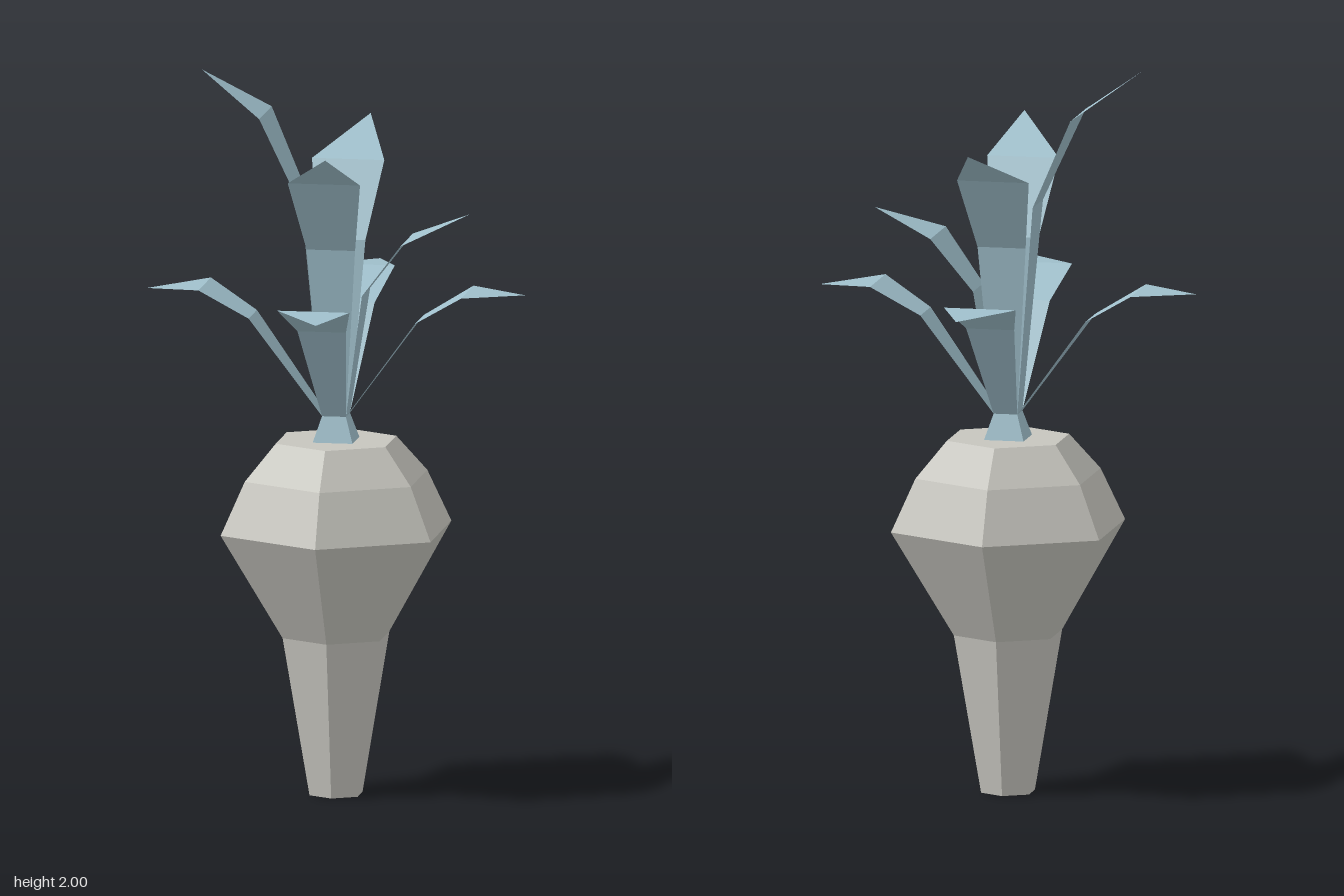
import * as THREE from 'three';

// Leaf strip leaning towards +z; each section is [reach, height, halfWidth], tip is [x, height, reach].
function leafGeometry(sections, tip) {
  const positions = [];
  for (const [reach, height, half] of sections) {
    positions.push(-half, height, reach, half, height, reach);
  }
  positions.push(tip[0], tip[1], tip[2]);
  const index = [];
  const last = (sections.length - 1) * 2;
  for (let i = 0; i < last; i += 2) {
    index.push(i, i + 2, i + 1, i + 1, i + 2, i + 3);
  }
  index.push(last, last + 2, last + 1);
  const geometry = new THREE.BufferGeometry();
  geometry.setAttribute('position', new THREE.Float32BufferAttribute(positions, 3));
  geometry.setIndex(index);
  geometry.computeVertexNormals();
  return geometry;
}

export function createModel() {
  const model = new THREE.Group();
  model.name = 'rootVegetable';

  const rootMaterial = new THREE.MeshStandardMaterial({
    name: 'pale root grey', color: 0xc6c5be, flatShading: true });
  const leafMaterial = new THREE.MeshStandardMaterial({
    name: 'leaf blue', color: 0x9fbfcb, flatShading: true, side: THREE.DoubleSide });

  // Six-sided root, from the blunt tip up to the flat crown
  const profile = [[0, 0], [0.077, 0], [0.155, 0.44], [0.335, 0.735], [0.265, 0.88], [0.175, 0.98], [0, 0.98]];
  const root = new THREE.Mesh(
    new THREE.LatheGeometry(profile.map(([r, y]) => new THREE.Vector2(r, y)), 6), rootMaterial);
  root.name = 'root';
  model.add(root);

  // Square stalk that carries the leaves
  const stalkGeometry = new THREE.CylinderGeometry(0.033 * Math.SQRT2, 0.055 * Math.SQRT2, 0.07, 4);
  stalkGeometry.rotateY(Math.PI / 4);
  const stalk = new THREE.Mesh(stalkGeometry, leafMaterial);
  stalk.name = 'stalk';
  stalk.position.y = 1.015;
  model.add(stalk);

  // One upright and one drooping leaf on each side of the stalk
  const base = 1.05;
  const droopingLeaf = (tipX) => leafGeometry(
    [[0.033, base, 0.033], [0.23, 1.32, 0.067], [0.363, 1.4, 0.1]], [tipX, 1.39, 0.518]);
  const uprightLeaf = (tipX, rise) => leafGeometry(
    [[0.033, base, 0.033], [0.083, base + rise * 0.61, 0.067], [0.195, base + rise * 0.873, 0.1]],
    [tipX, base + rise, 0.365]);

  const sides = [
    { name: 'front', angle: 0, tipX: 0.033, rise: 0.77 },
    { name: 'left', angle: Math.PI / 2, tipX: 0.033, rise: 0.56 },
    { name: 'back', angle: Math.PI, tipX: -0.033, rise: 0.77 },
    { name: 'right', angle: -Math.PI / 2, tipX: 0.033, rise: 0.95 },
  ];
  for (const { name, angle, tipX, rise } of sides) {
    const pair = new THREE.Group();
    pair.name = name + 'Leaves';
    pair.rotation.y = angle;
    const upright = new THREE.Mesh(uprightLeaf(tipX, rise), leafMaterial);
    upright.name = name + 'UprightLeaf';
    const drooping = new THREE.Mesh(droopingLeaf(tipX), leafMaterial);
    drooping.name = name + 'DroopingLeaf';
    pair.add(upright, drooping);
    model.add(pair);
  }
  return model;
}
